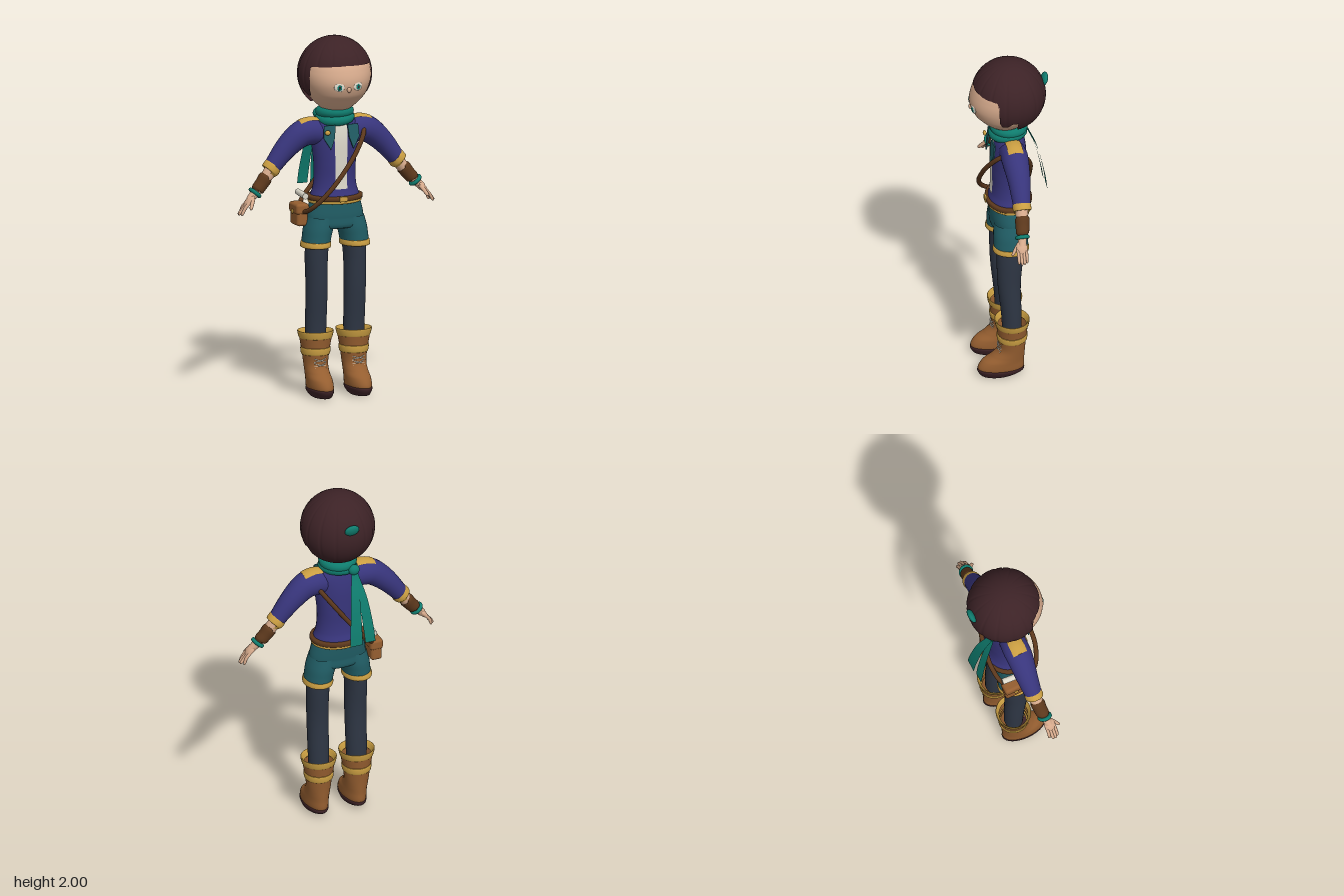
import * as THREE from 'three';
import { ParametricGeometry } from 'three/addons/geometries/ParametricGeometry.js';
import { RoundedBoxGeometry } from 'three/addons/geometries/RoundedBoxGeometry.js';

const TAU = Math.PI * 2;
const mat = (name, color) => Object.assign(new THREE.MeshStandardMaterial({ color, side: THREE.DoubleSide }), { name });
const skin = mat('skin', 0xd6aa8c), hairBrown = mat('dark maroon', 0x3c2226), indigo = mat('indigo cloth', 0x38357c);
const petrol = mat('petrol cloth', 0x215e66), teal = mat('teal cloth', 0x0f7c6e), gold = mat('gold trim', 0xcb9f42);
const tan = mat('tan leather', 0x955e30), leather = mat('dark leather', 0x5c381c), slate = mat('slate leggings', 0x2e3644);
const cream = mat('cream', 0xdcd8ca);

// Smooth interpolation through rows of numbers, t from 0 to 1
function blend(rows, t) {
  const n = rows.length - 1, i = Math.max(0, Math.min(n - 1, Math.floor(t * n))), f = t * n - i;
  const a = rows[Math.max(0, i - 1)], b = rows[i], c = rows[i + 1], d = rows[Math.min(n, i + 2)];
  return b.map((_, k) => b[k] + 0.5 * f * (c[k] - a[k] + f * (2 * a[k] - 5 * b[k] + 4 * c[k] - d[k]
    + f * (3 * (b[k] - c[k]) + d[k] - a[k]))));
}

// Stack of horizontal ellipses, bottom to top: [y, centre x, centre z, radius x, radius z]
function loft(rows, a0 = -Math.PI, a1 = Math.PI, slices = 32) {
  return new ParametricGeometry((u, v, p) => {
    const [y, cx, cz, rx, rz] = blend(rows, v), a = a0 + (a1 - a0) * u;
    p.set(cx + rx * Math.sin(a), y, cz + rz * Math.cos(a));
  }, slices, (rows.length - 1) * 5);
}

// Round limb through [x, y, z, radius]; runs across the xy plane
function limb(rows, a0 = 0, a1 = TAU, slices = 20) {
  const Z = new THREE.Vector3(0, 0, 1), T = new THREE.Vector3(), N = new THREE.Vector3();
  return new ParametricGeometry((u, v, p) => {
    const [x, y, z, r] = blend(rows, v), a = a0 + (a1 - a0) * u;
    const q = blend(rows, Math.max(0, v - 0.01)), w = blend(rows, Math.min(1, v + 0.01));
    T.set(w[0] - q[0], w[1] - q[1], 0).normalize();
    N.crossVectors(T, Z);
    p.set(x, y, z).addScaledVector(Z, r * Math.cos(a)).addScaledVector(N, r * Math.sin(a));
  }, slices, (rows.length - 1) * 6);
}

// Flat strip through [x, y, z, half width]
const ribbon = rows => new ParametricGeometry((u, v, p) => {
  const [x, y, z, w] = blend(rows, v);
  p.set(x + (u * 2 - 1) * w, y, z);
}, 4, 24);

export function createModel() {
  const model = new THREE.Group();
  model.name = 'adventurer';
  let parent = model;
  const add = (name, geo, material, pos = [0, 0, 0], rot = [0, 0, 0], scale = [1, 1, 1]) => {
    const m = new THREE.Mesh(geo, material);
    m.name = name;
    m.position.set(...pos); m.rotation.set(...rot); m.scale.set(...scale);
    parent.add(m);
    return m;
  };
  const ball = (name, material, pos, scale, rot) => add(name, new THREE.SphereGeometry(1, 24, 16), material, pos, rot, scale);
  const group = name => { parent = new THREE.Group(); parent.name = name; model.add(parent); };

  // Head and face
  group('head');
  add('face', loft([[1.58, 0, 0.02, 0.01, 0.01], [1.595, 0, 0.015, 0.065, 0.07], [1.62, 0, 0.017, 0.1, 0.108],
    [1.66, 0, 0.022, 0.14, 0.142], [1.7, 0, 0.02, 0.168, 0.176], [1.76, 0, 0.02, 0.188, 0.196],
    [1.82, 0, 0.013, 0.192, 0.194], [1.88, 0, 0, 0.176, 0.176], [1.95, 0, 0, 0.1, 0.1]], undefined, undefined, 48), skin);
  ball('nose', skin, [0, 1.735, 0.212], [0.012, 0.016, 0.01]);
  for (const s of [-1, 1]) {
    const rot = [0, s * 0.28, 0];
    ball('eyeWhite', cream, [s * 0.055, 1.75, 0.205], [0.029, 0.024, 0.006], rot);
    ball('iris', teal, [s * 0.055, 1.748, 0.2095], [0.014, 0.015, 0.004], rot);
    ball('pupil', hairBrown, [s * 0.055, 1.748, 0.2125], [0.006, 0.007, 0.003], rot);
  }
  add('neck', new THREE.CylinderGeometry(0.06, 0.06, 0.14, 24), skin, [0, 1.56, 0]);

  // Hair cap with a straight fringe, side locks and combed grooves
  const edge = [[0, 1.865], [64, 1.855], [67, 1.69], [78, 1.685], [88, 1.72], [97, 1.715], [99, 1.64], [120, 1.63], [181, 1.625]];
  const edgeY = deg => {
    const i = Math.max(1, edge.findIndex(e => e[0] > deg)), [a, ya] = edge[i - 1], [b, yb] = edge[i];
    return ya + (yb - ya) * (deg - a) / (b - a);
  };
  add('hair', new ParametricGeometry((u, v, p) => {
    const a = (u * 2 - 1) * Math.PI, R = 0.206 - 0.003 * Math.abs(Math.cos(a * 7)) ** 24;
    const t = Math.acos((edgeY(Math.abs(a) * 180 / Math.PI) - 1.794) / 0.206) * (1 - v * 0.998);
    p.set(R * Math.sin(t) * Math.sin(a), 1.794 + 0.206 * Math.cos(t), R * Math.sin(t) * Math.cos(a));
  }, 168, 30), hairBrown);
  ball('hairTie', teal, [0, 1.868, -0.2], [0.042, 0.036, 0.018], [-0.35, 0, 0]);

  // Jacket body, shirt front, lapels
  group('jacket');
  const torso = [[1.09, 0, 0, 0.146, 0.117], [1.12, 0, 0, 0.138, 0.112], [1.16, 0, 0, 0.125, 0.1], [1.22, 0, 0, 0.118, 0.095],
    [1.3, 0, 0, 0.12, 0.097], [1.42, 0, 0, 0.134, 0.097], [1.5, 0, 0, 0.136, 0.088], [1.545, 0, 0, 0.105, 0.074], [1.57, 0, 0, 0.05, 0.05]];
  add('jacketBody', loft(torso), indigo);
  add('shirtFront', loft(torso.slice(2, 8).map(([y, x, z, rx, rz]) => [y, x, z, rx + 0.004, rz + 0.004]), -0.28, 0.28, 8), cream);
  add('jacketHem', loft([[1.078, 0, 0, 0.145, 0.112], [1.08, 0, 0, 0.151, 0.121], [1.094, 0, 0, 0.151, 0.121], [1.1, 0, 0, 0.14, 0.11]]), gold);
  for (const s of [-1, 1]) {
    const shape = new THREE.Shape([[0.035, 0.07], [0.1, 0.07], [0.105, 0], [0.066, -0.065], [0.042, 0]].map(([x, y]) => new THREE.Vector2(s * x, y)));
    add('lapel', new THREE.ExtrudeGeometry(shape, { depth: 0.008, bevelEnabled: false }), petrol, [0, 1.45, 0.108], [-0.12, s * 0.12, 0]);
  }
  ball('brooch', gold, [-0.088, 1.483, 0.116], [0.016, 0.014, 0.01]);

  // Arms
  for (const s of [-1, 1]) {
    group(s > 0 ? 'leftArm' : 'rightArm');
    const side = rows => rows.map(([x, ...rest]) => [s * x, ...rest]);
    const tilt = s * -0.867, top = -s * Math.PI / 2;
    add('sleeve', limb(side([[0.07, 1.465, 0, 0.07], [0.15, 1.474, -0.005, 0.075], [0.21, 1.455, -0.006, 0.072],
      [0.29, 1.385, -0.01, 0.061], [0.378, 1.277, -0.008, 0.046]])), indigo);
    add('epaulette', limb(side([[0.105, 1.472, -0.003, 0.079], [0.15, 1.474, -0.005, 0.081], [0.192, 1.463, -0.006, 0.079]]),
      top - 0.55, top + 0.55, 10), gold);
    add('sleeveCuff', limb(side([[0.36, 1.299, -0.008, 0.046], [0.363, 1.296, -0.008, 0.051], [0.382, 1.272, -0.008, 0.05], [0.385, 1.269, -0.008, 0.033]])), gold);
    add('forearm', limb(side([[0.36, 1.295, -0.008, 0.037], [0.43, 1.205, 0, 0.032], [0.475, 1.158, 0.008, 0.025], [0.51, 1.12, 0.016, 0.022]])), skin);
    add('bracer', limb(side([[0.405, 1.238, -0.004, 0.03], [0.408, 1.235, -0.003, 0.04], [0.432, 1.204, 0, 0.038], [0.458, 1.175, 0.004, 0.036], [0.461, 1.171, 0.005, 0.025]])), leather);
    add('bracelet', new THREE.TorusGeometry(0.03, 0.011, 12, 28), teal, [s * 0.474, 1.158, 0.008], [Math.PI / 2, tilt + s * Math.PI / 2, 0, 'ZXY']).rotation.set(0, Math.PI / 2, tilt, 'ZYX');
    ball('palm', skin, [s * 0.513, 1.117, 0.018], [0.042, 0.017, 0.031], [0, 0, tilt]);
    for (let i = 0; i < 4; i++) {
      const z = -0.004 + i * 0.015, end = [0.562, 0.575, 0.577, 0.568][i];
      add('finger', limb(side([[0.52, 1.11, z, 0.009], [0.545, 1.082, z, 0.009], [end - 0.006, 1.052, z, 0.008], [end, 1.043, z, 0.001]]), 0, TAU, 10), skin);
    }
    add('thumb', limb(side([[0.492, 1.135, 0.03, 0.012], [0.508, 1.108, 0.052, 0.011], [0.522, 1.084, 0.068, 0.009], [0.526, 1.076, 0.072, 0.001]]), 0, TAU, 10), skin);
  }

  // Scarf with knot and two hanging tails
  group('scarf');
  add('scarfUpper', new THREE.TorusGeometry(0.076, 0.03, 14, 40), teal, [0, 1.58, 0], [Math.PI / 2 - 0.06, 0, 0]);
  add('scarfLower', new THREE.TorusGeometry(0.081, 0.028, 14, 40), teal, [0, 1.546, 0.004], [Math.PI / 2 + 0.08, 0.08, 0]);
  ball('scarfKnot', teal, [-0.055, 1.555, -0.1], [0.032, 0.03, 0.025]);
  add('scarfTail', ribbon([[-0.02, 1.14, -0.215, 0.036], [-0.025, 1.235, -0.203, 0.034], [-0.035, 1.39, -0.168, 0.028], [-0.05, 1.51, -0.118, 0.018], [-0.055, 1.56, -0.1, 0.014]]), teal);
  add('scarfTail', ribbon([[-0.106, 1.145, -0.21, 0.03], [-0.1, 1.235, -0.196, 0.03], [-0.085, 1.39, -0.16, 0.025], [-0.065, 1.51, -0.113, 0.017], [-0.058, 1.56, -0.1, 0.014]]), teal);

  // Belt, cross strap, pouch and scroll
  group('beltAndBag');
  add('belt', loft([[1.094, 0, 0, 0.135, 0.11], [1.096, 0, 0, 0.156, 0.127], [1.118, 0, 0, 0.156, 0.127], [1.121, 0, 0, 0.13, 0.105]]), leather);
  add('buckle', new RoundedBoxGeometry(0.046, 0.03, 0.012, 2, 0.004), gold, [0, 1.108, 0.128]);
  const strap = new THREE.CatmullRomCurve3([[-0.185, 1.03, 0], [-0.165, 1.07, 0.1], [-0.09, 1.16, 0.148], [0, 1.27, 0.152], [0.08, 1.375, 0.13],
    [0.145, 1.47, 0.07], [0.15, 1.49, 0], [0.14, 1.46, -0.06], [0.07, 1.36, -0.108], [0, 1.265, -0.12], [-0.09, 1.15, -0.12], [-0.165, 1.07, -0.09]].map(p => new THREE.Vector3(...p)), true);
  add('crossStrap', new THREE.TubeGeometry(strap, 90, 0.013, 10, true), leather);
  add('pouch', new RoundedBoxGeometry(0.066, 0.115, 0.116, 3, 0.016), tan, [-0.193, 1.007, -0.042]);
  add('pouchFlap', new RoundedBoxGeometry(0.076, 0.06, 0.124, 3, 0.016), tan, [-0.193, 1.045, -0.042]);
  ball('pouchButton', gold, [-0.233, 1.027, -0.042], [0.006, 0.013, 0.013]);
  add('scroll', new THREE.CylinderGeometry(0.017, 0.017, 0.14, 18), cream, [-0.182, 1.122, -0.03], [Math.PI / 2, 0, 0.08]);

  // Shorts
  group('shorts');
  add('hips', loft([[0.935, 0, 0.005, 0.01, 0.01], [0.94, 0, 0.005, 0.158, 0.09], [1.0, 0, 0.005, 0.163, 0.1], [1.06, 0, 0.002, 0.151, 0.104], [1.1, 0, 0, 0.138, 0.105]]), petrol);
  for (const s of [-1, 1]) {
    add('shortsLeg', loft([[0.845, s * 0.115, 0.007, 0.077, 0.094], [0.89, s * 0.108, 0.006, 0.079, 0.095],
      [0.94, s * 0.098, 0.005, 0.082, 0.096], [1.0, s * 0.085, 0.005, 0.078, 0.09]]), petrol);
    add('shortsHem', loft([[0.832, s * 0.116, 0.007, 0.06, 0.07], [0.833, s * 0.116, 0.007, 0.081, 0.099],
      [0.86, s * 0.114, 0.007, 0.08, 0.098], [0.864, s * 0.114, 0.007, 0.074, 0.09]]), gold);
  }

  // Leggings and boots
  for (const s of [-1, 1]) {
    group(s > 0 ? 'leftLeg' : 'rightLeg');
    const x = s * 0.113;
    add('legging', loft([[0.25, x, 0, 0.055, 0.052], [0.4, x, 0.004, 0.059, 0.056], [0.6, x, 0.016, 0.06, 0.064],
      [0.78, x, 0.012, 0.062, 0.074], [0.92, s * 0.1, 0.008, 0.066, 0.078]]), slate);
    add('boot', loft([[0.03, x, 0.06, 0.058, 0.118], [0.06, x, 0.062, 0.065, 0.129], [0.1, x, 0.05, 0.066, 0.117], [0.135, x, 0.023, 0.065, 0.092],
      [0.18, x, 0.003, 0.067, 0.075], [0.25, x, 0, 0.076, 0.079], [0.325, x, 0, 0.09, 0.087], [0.35, x, 0, 0.095, 0.09]]), tan);
    add('sole', loft([[0.003, x, 0.08, 0.01, 0.02], [0.006, x, 0.08, 0.046, 0.085], [0.025, x, 0.064, 0.06, 0.122],
      [0.046, x, 0.063, 0.067, 0.131], [0.056, x, 0.066, 0.062, 0.12]]), hairBrown);
    add('bootCuff', loft([[0.324, x, 0, 0.085, 0.083], [0.325, x, 0, 0.092, 0.09], [0.36, x, 0, 0.101, 0.097], [0.361, x, 0, 0.094, 0.09], [0.33, x, 0, 0.08, 0.078]]), gold);
    add('bootBand', loft([[0.232, x, 0, 0.07, 0.07], [0.235, x, 0, 0.079, 0.082], [0.268, x, 0, 0.083, 0.085], [0.271, x, 0, 0.074, 0.075]]), gold);
    [[0.155, 0.085], [0.18, 0.08], [0.205, 0.079]].forEach(([y, z]) => {
      for (const d of [-1, 1]) add('bootLace', limb([[x - 0.035, y - d * 0.009, z - 0.012, 0.0025], [x, y, z + 0.002, 0.0025], [x + 0.035, y + d * 0.009, z - 0.012, 0.0025]], 0, TAU, 6), cream);
    });
  }
  return model;
}
